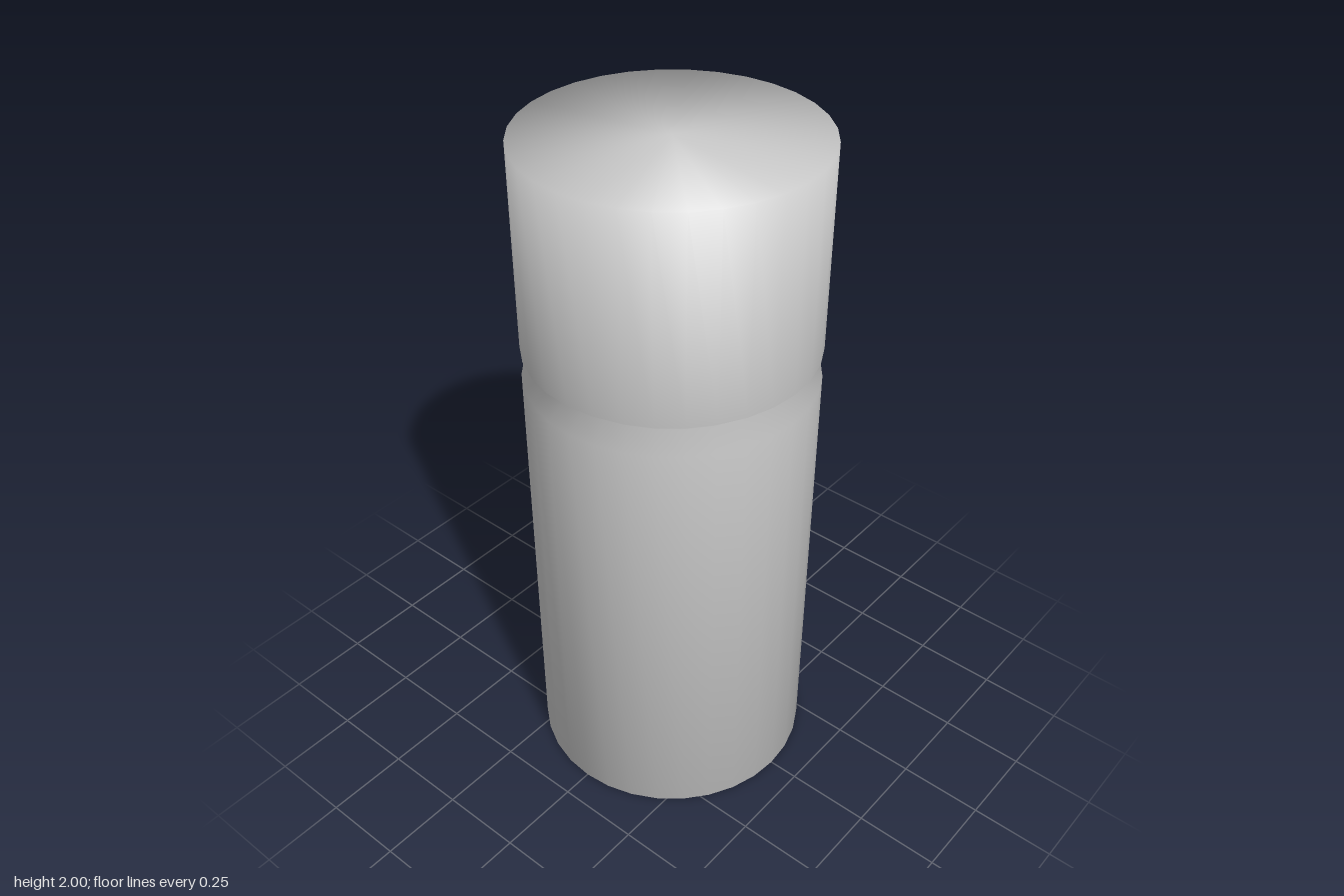
import * as THREE from 'three';

export function createModel() {
  const group = new THREE.Group();
  group.name = 'groovedCylinder';

  const radius = 0.41;
  const grooveRadius = 0.353;

  // Closed profile from the bottom centre to the top centre, with a V groove
  const profile = [
    [0, 0],
    [radius, 0],
    [radius, 1.32],
    [grooveRadius, 1.365],
    [radius, 1.41],
    [radius, 2],
    [0, 2],
  ].map(([r, y]) => new THREE.Vector2(r, y));

  // Smooth normals run across the rims and the groove
  const body = new THREE.Mesh(
    new THREE.LatheGeometry(profile, 32),
    new THREE.MeshStandardMaterial({ color: 0xcccccc })
  );
  body.name = 'body';
  group.add(body);

  return group;
}
